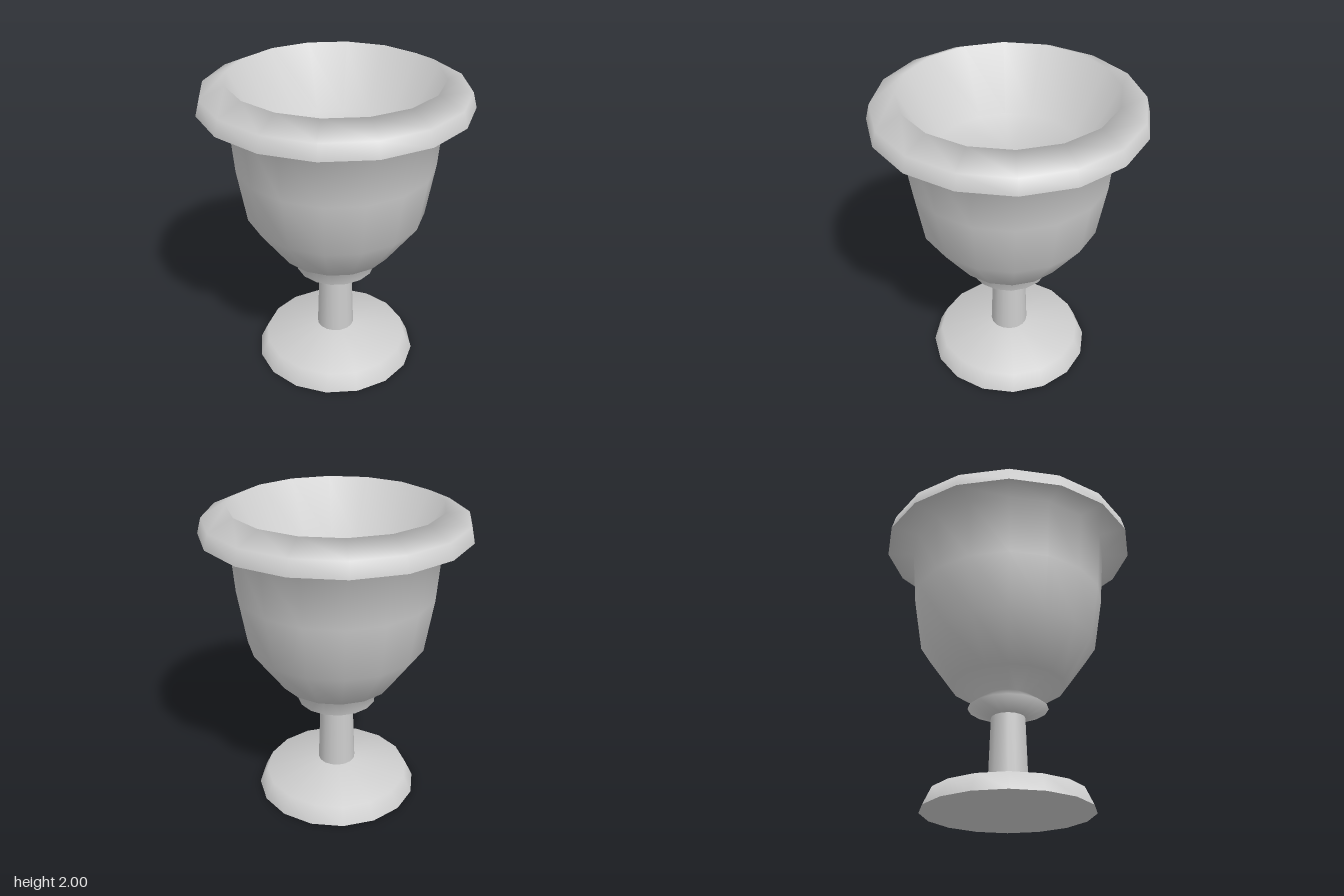
import * as THREE from 'three';

const SIDES = 16;

export function createModel() {
  const group = new THREE.Group();
  group.name = 'goblet';
  const material = new THREE.MeshStandardMaterial({ color: 0xcccccc });

  // Turns a profile of [radius, height] points; normals are smooth along each profile
  function turn(name, profile) {
    const points = profile.map(([r, y]) => new THREE.Vector2(r, y));
    const mesh = new THREE.Mesh(new THREE.LatheGeometry(points, SIDES), material);
    mesh.name = name;
    group.add(mesh);
  }

  // Foot: flat underside and sloping top
  turn('footUnderside', [[0, 0], [0.54, 0]]);
  turn('foot', [[0.54, 0], [0.485, 0.115], [0.125, 0.195]]);

  // Slim tapered stem
  turn('stem', [[0.125, 0.195], [0.11, 0.61]]);

  // Cup outside, from the flared collar up to the underside of the rim
  turn('cup', [
    [0.11, 0.61], [0.26, 0.672], [0.145, 0.75],
    [0.375, 0.822], [0.575, 1.1], [0.632, 1.45], [0.662, 1.835], [0.84, 1.835],
  ]);

  // Rim rolling over into the shallow bowl with its flat floor
  turn('rimAndBowl', [[0.84, 1.835], [0.815, 1.93], [0.66, 2], [0.45, 1.6], [0, 1.6]]);

  return group;
}
